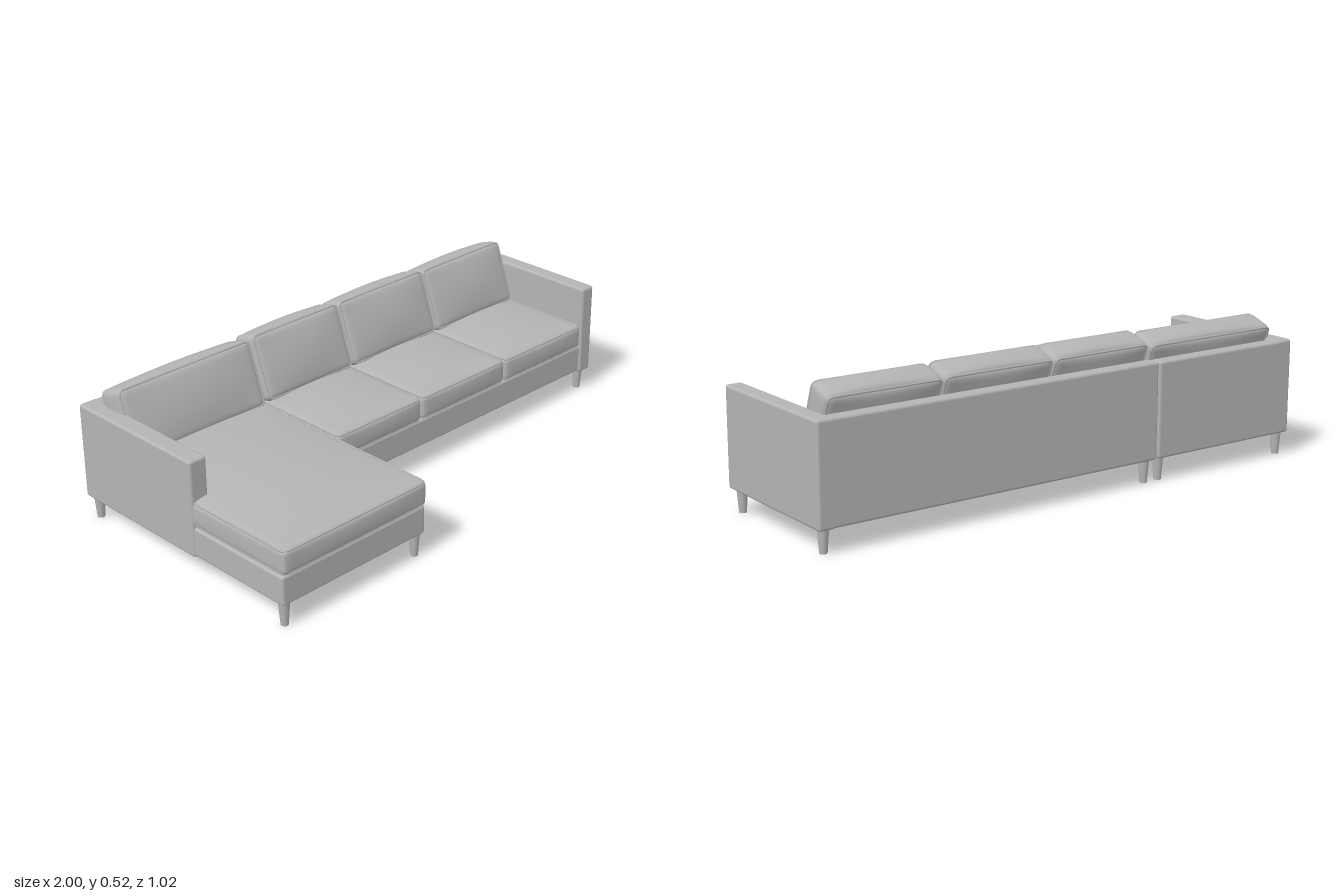
import * as THREE from 'three';
import { mergeVertices } from 'three/addons/utils/BufferGeometryUtils.js';
import { RoundedBoxGeometry } from 'three/addons/geometries/RoundedBoxGeometry.js';

const fabric = new THREE.MeshStandardMaterial({ color: 0xb4b4b4 });
fabric.name = 'grey fabric';

function mesh(geometry, name, parent) {
  const m = new THREE.Mesh(geometry, fabric);
  m.name = name;
  parent.add(m);
  return m;
}

// Upholstered frame block given by its min and max corners
function block(name, parent, [x0, y0, z0], [x1, y1, z1], r = 0.01) {
  const m = mesh(new RoundedBoxGeometry(x1 - x0, y1 - y0, z1 - z0, 3, r), name, parent);
  m.position.set((x0 + x1) / 2, (y0 + y1) / 2, (z0 + z1) / 2);
  return m;
}

// Box with rounded edges whose faces bulge outwards by crown = [x, y, z]
function softBox(size, r, crown) {
  let g = new THREE.BoxGeometry(2, 2, 2, 20, 20, 20);
  g.deleteAttribute('normal');
  g.deleteAttribute('uv');
  g = mergeVertices(g);
  const pos = g.attributes.position;
  const half = size.map((s) => s / 2);
  for (let i = 0; i < pos.count; i++) {
    const t = [pos.getX(i), pos.getY(i), pos.getZ(i)];
    // crowd the grid towards the edges so that they round well
    const p = t.map((v, k) => Math.sign(v) * (1 - (1 - Math.abs(v)) ** 2) * half[k]);
    const core = p.map((v, k) => THREE.MathUtils.clamp(v, r - half[k], half[k] - r));
    const d = new THREE.Vector3(...p.map((v, k) => v - core[k]));
    if (d.length() > 0) d.setLength(r);
    const q = [core[0] + d.x, core[1] + d.y, core[2] + d.z];
    const fall = p.map((v, k) => 1 - (v / half[k]) ** 2);
    for (let k = 0; k < 3; k++) {
      q[k] += crown[k] * (p[k] / half[k]) * fall[(k + 1) % 3] * fall[(k + 2) % 3];
    }
    pos.setXYZ(i, ...q);
  }
  g.computeVertexNormals();
  return g;
}

// Closed cord around a rounded rectangle in the xy plane
function piping(w, h) {
  const c = 0.02, a = w / 2, b = h / 2;
  const path = new THREE.CurvePath();
  const pts = [
    [a - c, b], [a, b], [a, b - c], [a, c - b], [a, -b], [a - c, -b],
    [c - a, -b], [-a, -b], [-a, c - b], [-a, b - c], [-a, b], [c - a, b],
  ].map(([x, y]) => new THREE.Vector3(x, y, 0));
  for (let i = 0; i < 12; i += 3) {
    path.add(new THREE.QuadraticBezierCurve3(pts[i], pts[i + 1], pts[i + 2]));
    path.add(new THREE.LineCurve3(pts[i + 2], pts[(i + 3) % 12]));
  }
  return new THREE.TubeGeometry(path, 160, 0.004, 6, true);
}

// Seat cushion with cord along its upper and lower edges
function seatCushion(name, parent, x0, x1, z0, z1, crown) {
  const g = new THREE.Group();
  g.name = name;
  const w = x1 - x0, h = 0.09, d = z1 - z0;
  mesh(softBox([w, h, d], 0.018, [0.003, crown, 0.006]), 'cushionBody', g);
  for (const s of [-1, 1]) {
    const cord = mesh(piping(w - 0.009, d - 0.009), 'cushionPiping', g);
    cord.rotation.x = Math.PI / 2;
    cord.position.y = s * (h / 2 - 0.005);
  }
  g.position.set((x0 + x1) / 2, 0.24, (z0 + z1) / 2);
  parent.add(g);
}

// Back cushion leaning on the back rest
function backCushion(name, parent, x0, x1, lift) {
  const g = new THREE.Group();
  g.name = name;
  const w = x1 - x0, h = 0.245, d = 0.11;
  mesh(softBox([w, h, d], 0.022, [0.004, 0.012, 0.016]), 'cushionBody', g);
  for (const s of [-1, 1]) {
    const cord = mesh(piping(w - 0.011, h - 0.011), 'cushionPiping', g);
    cord.position.z = s * (d / 2 - 0.006);
  }
  g.position.set((x0 + x1) / 2, 0.386 + lift, -0.365);
  g.rotation.x = -0.35;
  parent.add(g);
}

// Tapered round leg
function leg(parent, x, z) {
  const m = mesh(new THREE.CylinderGeometry(0.02, 0.013, 0.09, 20), 'leg', parent);
  m.position.set(x, 0.045, z);
}

export function createModel() {
  const model = new THREE.Group();
  model.name = 'cornerSofa';

  // Chaise section
  const chaise = new THREE.Group();
  chaise.name = 'chaiseSection';
  model.add(chaise);
  block('chaiseBase', chaise, [-0.995, 0.085, -0.5], [-0.368, 0.192, 0.495]);
  block('chaiseBack', chaise, [-0.998, 0.082, -0.506], [-0.368, 0.43, -0.452]);
  block('chaiseArm', chaise, [-1, 0.082, -0.506], [-0.93, 0.432, 0.075]);
  seatCushion('chaiseCushion', chaise, -0.993, -0.366, -0.4, 0.503, 0.025);
  backCushion('chaiseBackCushion', chaise, -0.945, -0.372, -0.005);
  for (const x of [-0.968, -0.392]) for (const z of [0.468, -0.475]) leg(chaise, x, z);

  // Three-seat section
  const sofa = new THREE.Group();
  sofa.name = 'sofaSection';
  model.add(sofa);
  block('sofaBase', sofa, [-0.36, 0.085, -0.5], [0.99, 0.192, 0.066]);
  block('sofaBack', sofa, [-0.362, 0.082, -0.508], [0.998, 0.432, -0.452]);
  block('sofaArm', sofa, [0.938, 0.08, -0.508], [1, 0.432, 0.074]);
  const edges = [-0.362, 0.053, 0.495, 0.936];
  for (let i = 0; i < 3; i++) {
    const x0 = edges[i] + 0.002, x1 = edges[i + 1] - 0.002;
    seatCushion('seatCushion', sofa, x0, x1, -0.4, 0.076, 0.018);
    backCushion('backCushion', sofa, x0, x1 - (i === 2 ? 0.005 : 0), i === 2 ? 0 : 0.003);
  }
  for (const x of [-0.327, 0.967]) for (const z of [0.04, -0.475]) leg(sofa, x, z);

  return model;
}
